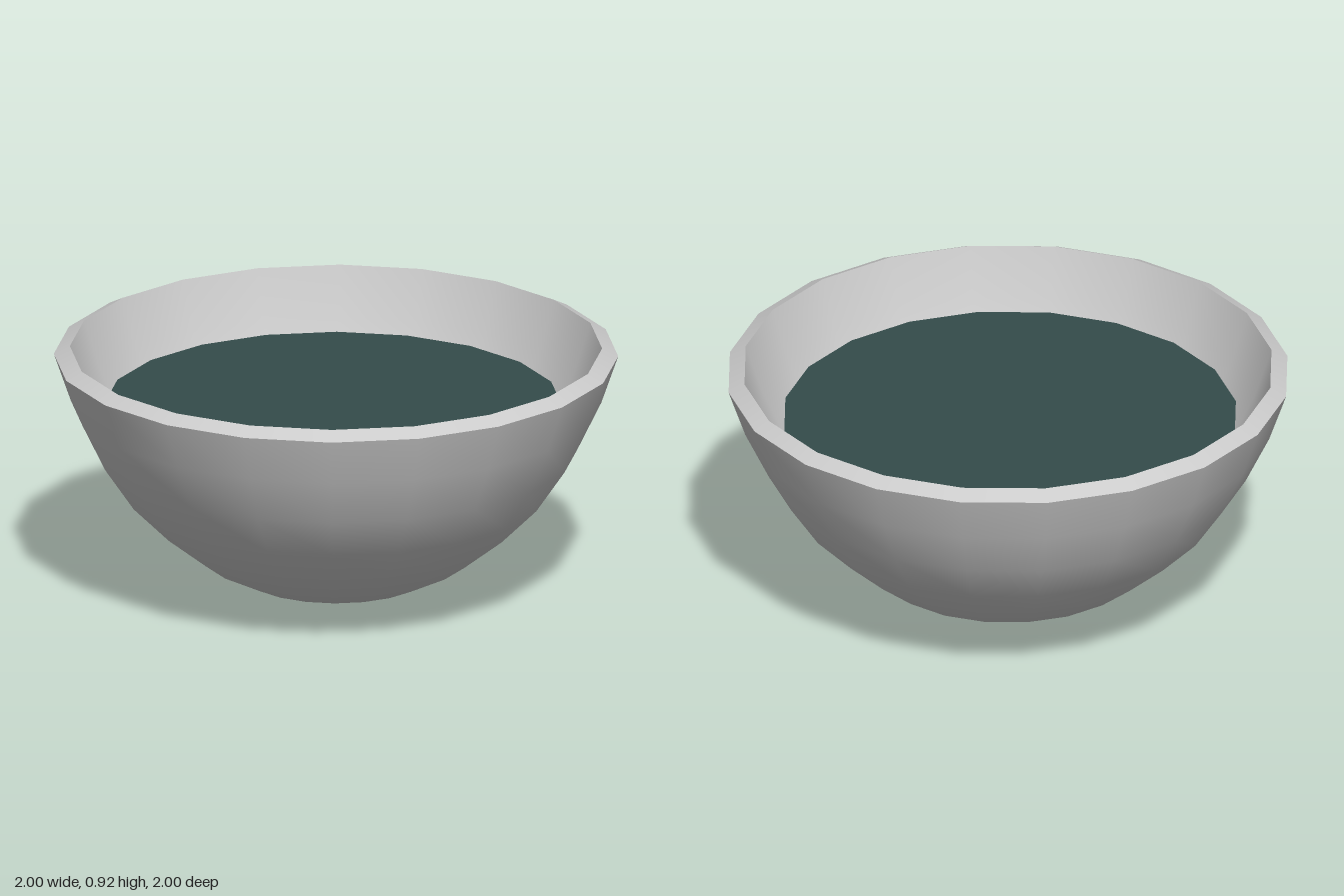
import * as THREE from 'three';

const SIDES = 20;

export function createModel() {
  const bowl = new THREE.Group();
  bowl.name = 'bowl';
  const grey = new THREE.MeshStandardMaterial({ color: 0xcccccc });
  const liquidMaterial = new THREE.MeshStandardMaterial({ color: 0x344c4b });

  // Each surface is its own lathe, so the rim edges stay sharp
  const addLathe = (name, profile) => {
    const points = profile.map(([r, y]) => new THREE.Vector2(r, y));
    const mesh = new THREE.Mesh(new THREE.LatheGeometry(points, SIDES), grey);
    mesh.name = name;
    bowl.add(mesh);
  };

  // Outer wall, from the bottom up
  addLathe('outerWall', [
    [0, 0], [0.165, 0.02], [0.33, 0.07], [0.48, 0.145], [0.62, 0.255],
    [0.75, 0.385], [0.855, 0.54], [0.94, 0.715], [1, 0.888],
  ]);

  // Bevelled rim, from outside to inside
  addLathe('rim', [[1, 0.888], [0.943, 0.917]]);

  // Inner wall, from the rim down
  addLathe('innerWall', [
    [0.943, 0.917], [0.883, 0.74], [0.802, 0.575], [0.705, 0.43], [0.582, 0.307],
    [0.45, 0.205], [0.31, 0.13], [0.155, 0.083], [0, 0.065],
  ]);

  // Liquid surface, slightly off centre
  const liquid = new THREE.Mesh(new THREE.CircleGeometry(0.808, SIDES), liquidMaterial);
  liquid.name = 'liquid';
  liquid.rotation.x = -Math.PI / 2;
  liquid.position.set(0, 0.715, 0.016);
  bowl.add(liquid);

  return bowl;
}
